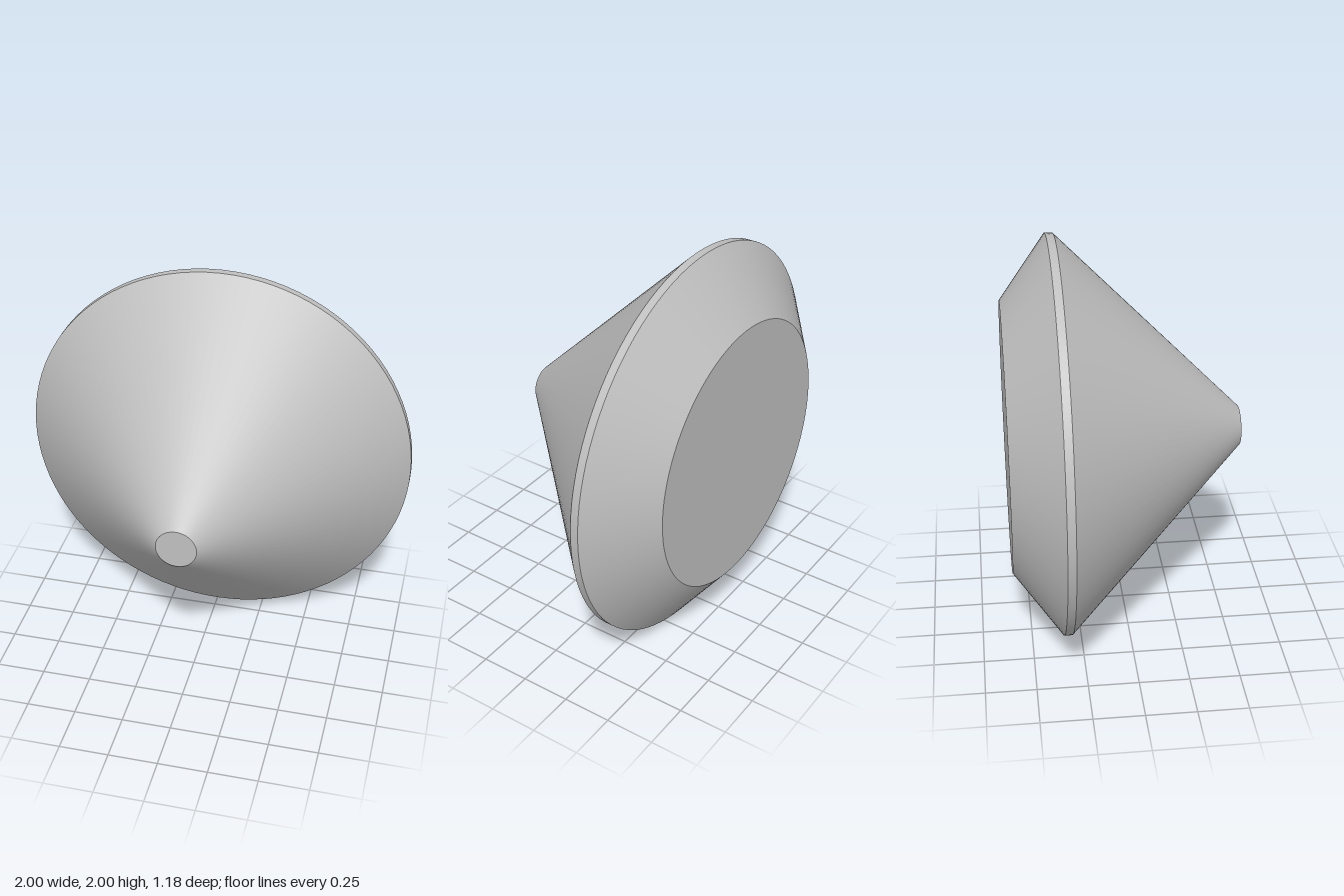
import * as THREE from 'three';

const SEGMENTS = 96;

export function createModel() {
  const group = new THREE.Group();
  group.name = 'roundCutGem';
  const grey = new THREE.MeshStandardMaterial({ color: 0xc0c0c0 });
  grey.name = 'light grey';

  const add = (name, geometry, z) => {
    const mesh = new THREE.Mesh(geometry, grey);
    mesh.name = name;
    mesh.position.set(0, 1, z);
    group.add(mesh);
  };

  // Open conical band between two z positions, axis along z
  const band = (name, frontZ, frontRadius, backZ, backRadius) => {
    const geometry = new THREE.CylinderGeometry(frontRadius, backRadius, frontZ - backZ, SEGMENTS, 1, true);
    add(name, geometry.rotateX(Math.PI / 2), (frontZ + backZ) / 2);
  };

  band('pavilion', 0.588, 0.1, -0.312, 1);
  band('girdle', -0.312, 1, -0.352, 1);
  band('crown', -0.352, 1, -0.588, 0.68);

  // Flat ends: small tip in front, wide table behind; turned to share the bands' vertices
  add('tip', new THREE.CircleGeometry(0.1, SEGMENTS).rotateZ(Math.PI / 2), 0.588);
  add('table', new THREE.CircleGeometry(0.68, SEGMENTS).rotateZ(Math.PI / 2).rotateY(Math.PI), -0.588);

  return group;
}
